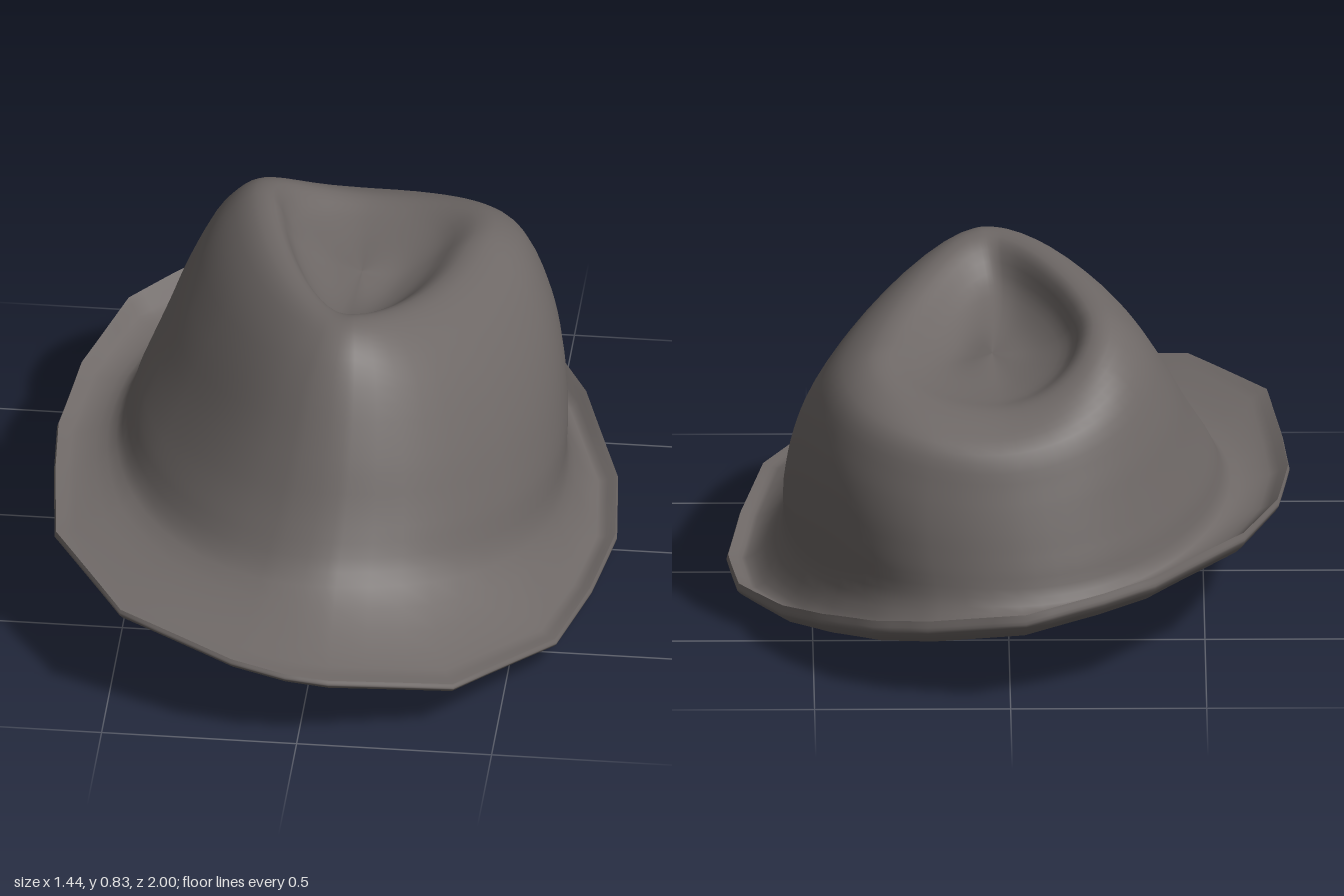
import * as THREE from 'three';

// Brim outline (x, z), from the front round by the left side
const OUTLINE = [
  [-0.03, 1], [0.08, 0.99], [0.39, 0.89], [0.62, 0.57], [0.68, 0.28], [0.715, 0], [0.69, -0.26],
  [0.58, -0.56], [0.48, -0.71], [0.35, -0.85], [0.21, -0.93], [-0.04, -1], [-0.24, -0.93],
  [-0.37, -0.86], [-0.5, -0.7], [-0.6, -0.57], [-0.69, -0.28], [-0.72, 0], [-0.705, 0.22],
  [-0.67, 0.53], [-0.47, 0.85], [-0.17, 0.98],
];
const SUB = 3;
const RIM = [];
OUTLINE.forEach((a, i) => {
  const b = OUTLINE[(i + 1) % OUTLINE.length];
  for (let k = 0; k < SUB; k++) {
    RIM.push([a[0] + (b[0] - a[0]) * k / SUB, a[1] + (b[1] - a[1]) * k / SUB]);
  }
});

// Crown rings: left x, right x, middle z, front z, back z, pinch, heights front/back/left/right
const TOP = [
  [0.04, 0.04, -0.2, -0.2, -0.2, 0, 0.67, 0.67, 0.67, 0.67],
  [0.13, -0.06, -0.22, -0.03, -0.38, 0.2, 0.68, 0.65, 0.655, 0.69],
  [0.21, -0.14, -0.25, 0.13, -0.49, 0.35, 0.73, 0.65, 0.675, 0.74],
  [0.29, -0.19, -0.27, 0.23, -0.58, 0.35, 0.815, 0.655, 0.72, 0.815],
  [0.35, -0.25, -0.27, 0.3, -0.65, 0.3, 0.825, 0.63, 0.72, 0.815],
];
const WALL = [
  [0.43, -0.33, -0.23, 0.37, -0.72, 0.25, 0.79, 0.585, 0.67, 0.745],
  [0.5, -0.41, -0.18, 0.43, -0.76, 0.18, 0.72, 0.49, 0.565, 0.61],
  [0.545, -0.47, -0.13, 0.52, -0.79, 0.12, 0.56, 0.4, 0.44, 0.48],
  [0.57, -0.525, -0.08, 0.6, -0.815, 0.07, 0.4, 0.31, 0.29, 0.37],
  [0.58, -0.57, -0.05, 0.69, -0.845, 0.02, 0.28, 0.22, 0.145, 0.28],
];
const OPENING = [0.5, -0.51, -0.05, 0.66, -0.77, 0.02, 0.25, 0.19, 0.1, 0.31];

function crownRing([xl, xr, zc, zf, zb, pinch, yf, yb, yl, yr], inset = 1, drop = 0) {
  const xm = (xl + xr) / 2, hw = (xl - xr) / 2;
  return RIM.map(([rx, rz]) => {
    const t = Math.atan2(rx / 0.72, rz), s = Math.sin(t), c = Math.cos(t);
    const x = xm + hw * s * (1 - pinch * c);
    const z = zc + c * (c > 0 ? zf - zc : zc - zb);
    const y = c * c * (c > 0 ? yf : yb) + s * s * (s > 0 ? yl : yr);
    return new THREE.Vector3(x * inset, y - drop, z * inset);
  });
}

// Brim ring: scaled outline, leaning down to the left
function brimRing(scale, side, front, back) {
  return RIM.map(([rx, rz]) => {
    const x = rx * scale;
    const rise = THREE.MathUtils.smoothstep(Math.abs(rz), 0, 1);
    const y = side + rise * ((rz > 0 ? front : back) - side);
    return new THREE.Vector3(x, y - 0.167 * x, rz * scale);
  });
}

// Smooth surface through a list of rings
function loft(rings, steps) {
  const n = RIM.length, rows = (rings.length - 1) * steps;
  const pos = [], index = [];
  for (let i = 0; i < n; i++) {
    const curve = new THREE.CatmullRomCurve3(rings.map((r) => r[i]));
    for (let j = 0; j <= rows; j++) pos.push(...curve.getPoint(j / rows).toArray());
  }
  const at = (i, j) => (i % n) * (rows + 1) + j;
  for (let i = 0; i < n; i++) {
    for (let j = 0; j < rows; j++) {
      const a = at(i, j), b = at(i, j + 1), c = at(i + 1, j + 1), d = at(i + 1, j);
      index.push(a, b, c, a, c, d);
    }
  }
  const g = new THREE.BufferGeometry();
  g.setAttribute('position', new THREE.Float32BufferAttribute(pos, 3));
  g.setIndex(index);
  g.computeVertexNormals();
  return g;
}

export function createModel() {
  const hat = new THREE.Group();
  hat.name = 'hat';
  const felt = new THREE.MeshStandardMaterial({ color: 0x6e6866 });
  felt.name = 'greyFelt';
  const add = (name, rings, steps) => {
    const mesh = new THREE.Mesh(loft(rings, steps), felt);
    mesh.name = name;
    hat.add(mesh);
  };

  const edge = brimRing(0.995, 0.168, 0.2, 0.247);
  const opening = crownRing(OPENING);

  // Dented crown flowing into the top of the brim, turned up at the back
  add('crownAndBrimTop', [
    ...[...TOP, ...WALL].map((r) => crownRing(r)),
    brimRing(0.93, 0.15, 0.2, 0.192), edge,
  ], 4);

  // Rolled rim and underside of the brim
  add('brimUnderside', [
    edge, brimRing(1, 0.152, 0.186, 0.215), brimRing(0.9, 0.108, 0.145, 0.16), opening,
  ], 4);

  // Hollow inside of the crown, following the outer shell
  add('crownInside', [
    opening,
    ...WALL.slice(0, 4).reverse().map((r) => crownRing(r, 0.965, 0.02)),
    ...[...TOP].reverse().map((r) => crownRing(r, 0.97, 0.025)),
  ], 3);

  return hat;
}
